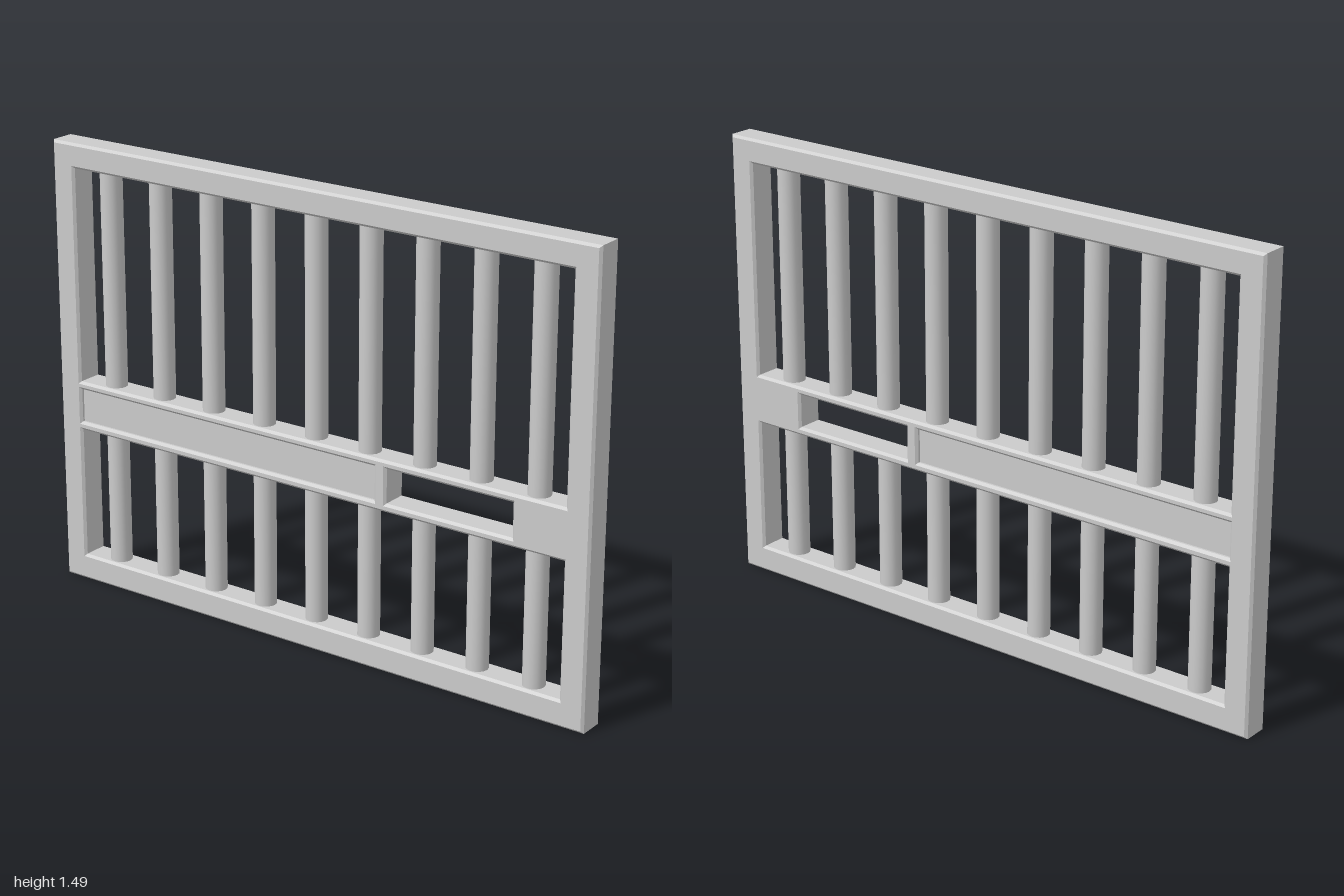
import * as THREE from 'three';

const HALF_DEPTH = 0.048, BEVEL = 0.008;
const INNER = 0.915; // half width of the openings
const HEIGHT = 1.49;

// Rectangular outline from its left, right, bottom and top limits
function rect(Type, x0, x1, y0, y1) {
  return new Type([
    new THREE.Vector2(x0, y0), new THREE.Vector2(x1, y0),
    new THREE.Vector2(x1, y1), new THREE.Vector2(x0, y1),
  ]);
}

export function createModel() {
  const group = new THREE.Group();
  const material = new THREE.MeshStandardMaterial({ color: 0xcccccc });

  const add = (name, geometry, x, y, z) => {
    const mesh = new THREE.Mesh(geometry, material);
    mesh.name = name;
    mesh.position.set(x, y, z);
    group.add(mesh);
  };

  // Openings filled by bars, as [bottom, top]
  const openings = [[0.088, 0.53], [0.697, 1.408]];
  const panel = { x0: -INNER, x1: 0.246, y0: 0.558, y1: 0.67 };
  const slot = { x0: 0.29, x1: 0.737 };

  // Frame with middle rail, cut by the openings, the panel recess and the slot
  const shape = rect(THREE.Shape, -1, 1, 0, HEIGHT);
  for (const [y0, y1] of openings) shape.holes.push(rect(THREE.Path, -INNER, INNER, y0, y1));
  shape.holes.push(rect(THREE.Path, panel.x0, panel.x1, panel.y0, panel.y1));
  shape.holes.push(rect(THREE.Path, slot.x0, slot.x1, panel.y0, panel.y1));
  const frame = new THREE.ExtrudeGeometry(shape, {
    depth: 2 * (HALF_DEPTH - BEVEL),
    bevelEnabled: true, bevelSegments: 1,
    bevelSize: BEVEL, bevelThickness: BEVEL, bevelOffset: -BEVEL,
  });
  add('frame', frame, 0, 0, -(HALF_DEPTH - BEVEL));

  // Panel set back from both faces of the middle rail
  add('lockPanel', new THREE.BoxGeometry(panel.x1 - panel.x0, panel.y1 - panel.y0, 0.066),
    (panel.x0 + panel.x1) / 2, (panel.y0 + panel.y1) / 2, 0);

  // Round bars in the lower and upper openings
  openings.forEach(([y0, y1], row) => {
    const bar = new THREE.CylinderGeometry(0.036, 0.036, y1 - y0, 16, 1, true);
    for (let i = -4; i <= 4; i++) {
      add(row ? 'upperBar' : 'lowerBar', bar, i * 0.2, (y0 + y1) / 2, 0);
    }
  });

  return group;
}
